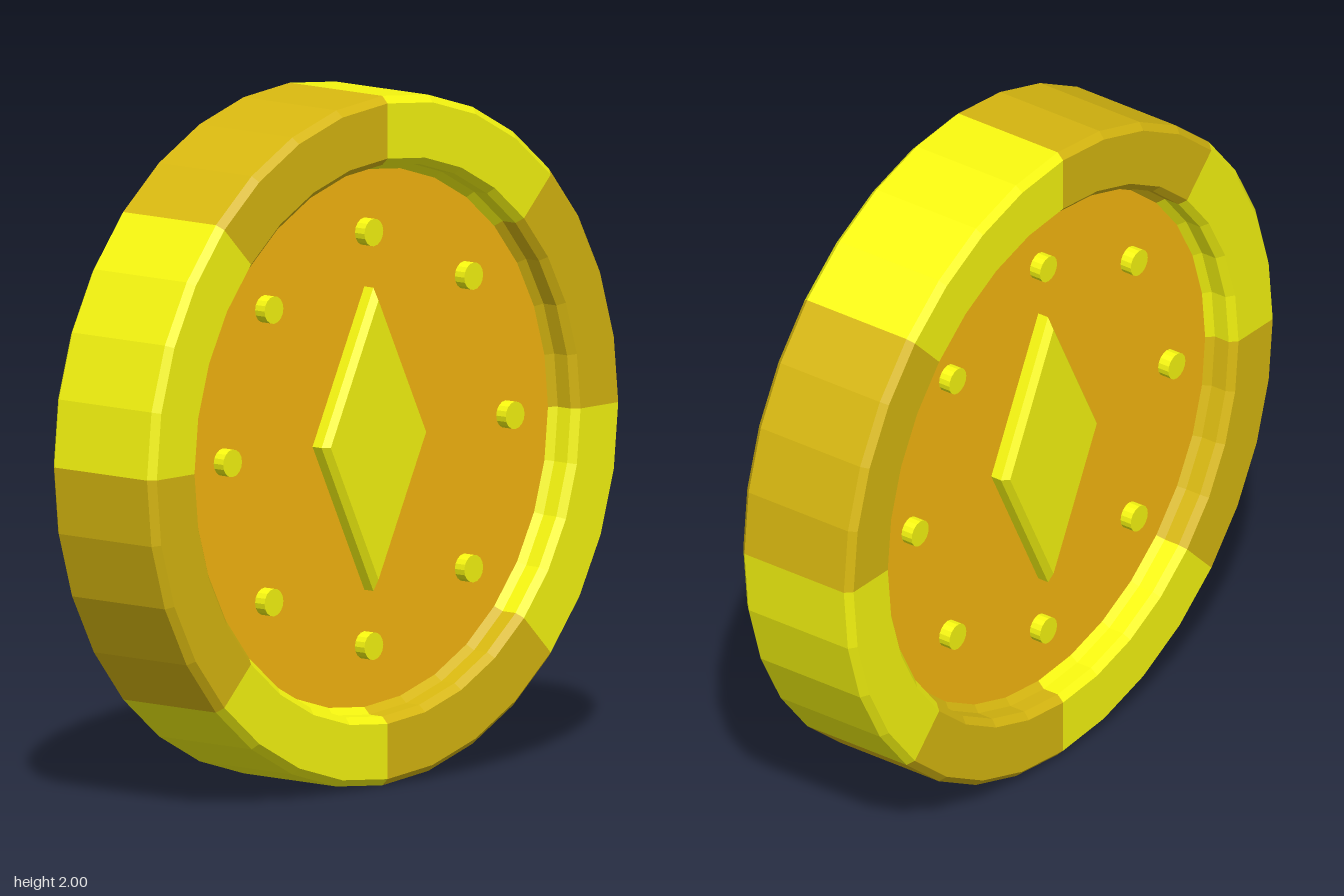
import * as THREE from 'three';

const YELLOW = 0xf8f810, GOLD = 0xd8b810, ORANGE = 0xf8b810;
const SECTORS = 8, STEPS = 4; // 32 sides in all
const DISC_X = 0.11; // half thickness of the recessed disc

function material(color) {
  const m = new THREE.MeshStandardMaterial({ flatShading: true });
  m.color.set(color);
  return m;
}

function part(name, geometry, mat) {
  const flat = geometry.index ? geometry.toNonIndexed() : geometry;
  flat.computeVertexNormals();
  const mesh = new THREE.Mesh(flat, mat);
  mesh.name = name;
  return mesh;
}

// Lathe around the x axis from [radius, x] pairs
function turn(pairs, segments, start = 0, length = Math.PI * 2) {
  const points = pairs.map(([r, x]) => new THREE.Vector2(r, x));
  return new THREE.LatheGeometry(points, segments, start, length).rotateZ(-Math.PI / 2);
}

export function createModel() {
  const coin = new THREE.Group();
  coin.name = 'coin';
  const yellow = material(YELLOW), gold = material(GOLD), orange = material(ORANGE);

  // Bevelled rim in eight sectors of alternating colour
  const half = [[1, 0.18], [0.98, 0.2], [0.82, 0.2], [0.8, 0.18], [0.8, 0.13], [0.78, DISC_X]];
  const profile = [...half.map(([r, x]) => [r, -x]).reverse(), ...half];
  const arc = Math.PI * 2 / SECTORS;
  for (let i = 0; i < SECTORS; i++) {
    coin.add(part('rimSector', turn(profile, STEPS, i * arc, arc), i % 2 ? yellow : gold));
  }

  // Recessed disc
  const disc = new THREE.CylinderGeometry(0.78, 0.78, DISC_X * 2, SECTORS * STEPS);
  coin.add(part('disc', disc.rotateZ(-Math.PI / 2), orange));

  // Ornaments, the same on both faces
  for (const angle of [0, Math.PI]) {
    const face = new THREE.Group();
    face.name = 'faceOrnaments';
    face.rotation.y = angle;

    const diamond = turn([[0.44, 0.1], [0.44, 0.145], [0.405, 0.165], [0, 0.165]], 4);
    face.add(part('diamond', diamond.scale(1, 1, 0.5), yellow));

    for (let i = 0; i < 8; i++) {
      const a = i * Math.PI / 4;
      const stud = part('stud', new THREE.CylinderGeometry(0.04, 0.04, 0.05, 16).rotateZ(-Math.PI / 2), yellow);
      stud.position.set(0.122, 0.6 * Math.cos(a), 0.6 * Math.sin(a));
      face.add(stud);
    }
    coin.add(face);
  }

  coin.position.y = 1;
  const model = new THREE.Group();
  model.name = 'model';
  model.add(coin);
  return model;
}
